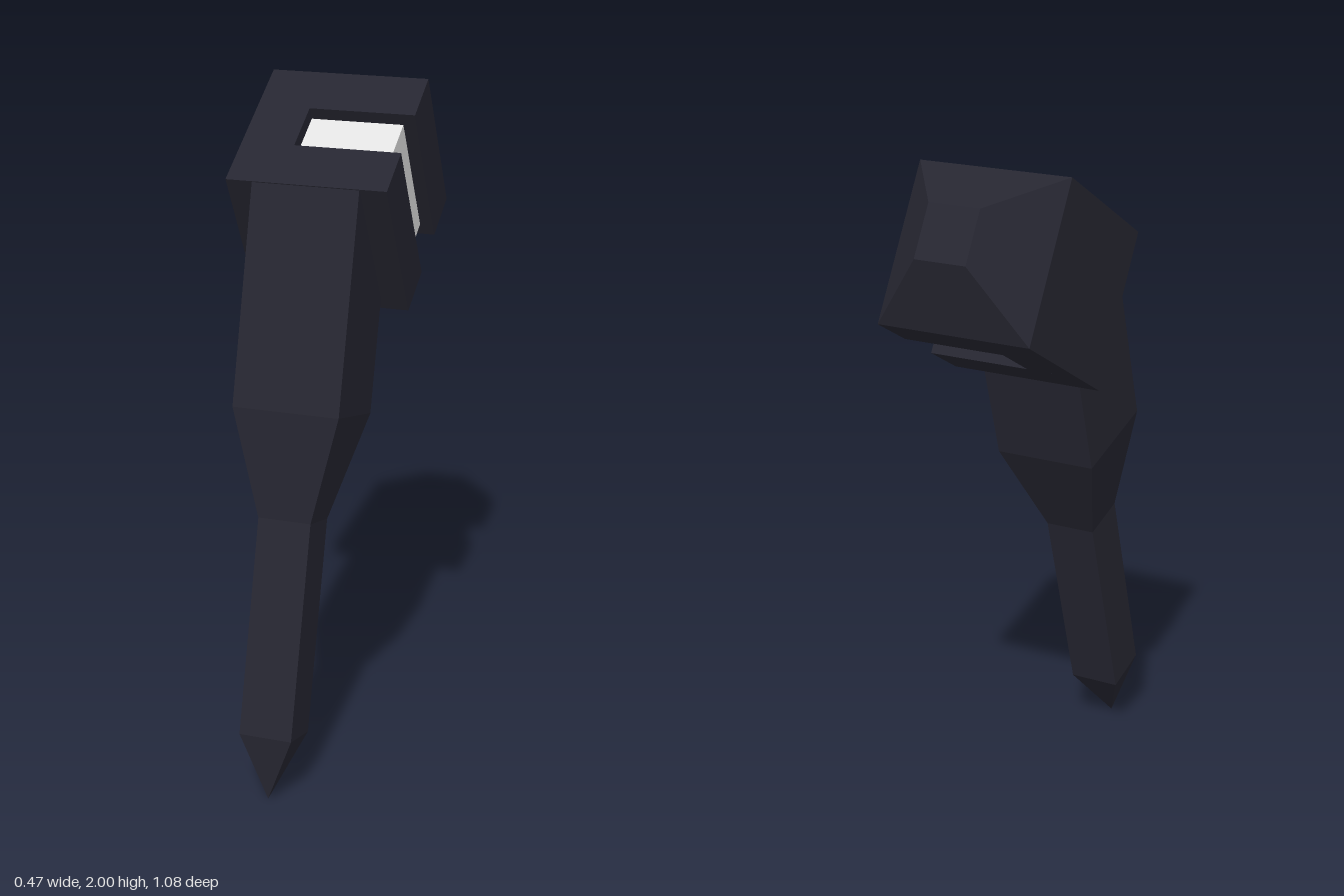
import * as THREE from 'three';

const dark = new THREE.MeshStandardMaterial({ color: 0x262631, flatShading: true });
dark.name = 'dark blue grey';
const pale = new THREE.MeshStandardMaterial({ color: 0xe0e0e0, flatShading: true });
pale.name = 'pale grey';

const U = 0.0791; // base module of the design

// Box given by its extents on each axis
function block(name, material, [x0, x1], [y0, y1], [z0, z1]) {
  const mesh = new THREE.Mesh(new THREE.BoxGeometry(x1 - x0, y1 - y0, z1 - z0), material);
  mesh.position.set((x0 + x1) / 2, (y0 + y1) / 2, (z0 + z1) / 2);
  mesh.name = name;
  return mesh;
}

function createHead() {
  const head = new THREE.Group();
  head.name = 'head';
  const full = [-3 * U, 3 * U];
  head.add(
    block('frontSlab', dark, full, full, [U, 3 * U]),
    block('rearSlab', dark, full, full, [-3 * U, -U]),
    block('grooveEnd', dark, [-3 * U, -U], full, [-U, U]),
    // Pale core set back inside the groove, which wraps top, side and bottom
    block('paleCore', pale, [-U, 2.5 * U], [-2.5 * U, 2.5 * U], [-U, U])
  );

  // Tapered back end
  const taper = new THREE.CylinderGeometry(U * Math.SQRT2, 3 * U * Math.SQRT2, 2 * U, 4);
  taper.rotateY(Math.PI / 4);
  taper.rotateX(-Math.PI / 2);
  const cap = new THREE.Mesh(taper, dark);
  cap.position.z = -4 * U;
  cap.name = 'taperedBack';
  head.add(cap);

  head.position.set(0, 1.675, -0.155);
  head.rotation.x = Math.PI / 6;
  return head;
}

function createHandle() {
  // Half width and distance from the tip, for each square section
  const profile = [[0, 0], [U, 0.198], [U, 0.834], [2 * U, 1.15], [2 * U, 1.785], [0, 1.785]]
    .map(([half, y]) => new THREE.Vector2(half * Math.SQRT2, y));
  const handle = new THREE.Mesh(new THREE.LatheGeometry(profile, 4, Math.PI / 4), dark);
  handle.name = 'handle';
  handle.position.set(0, 0.003, 0.523);
  handle.rotation.x = -0.287;
  return handle;
}

export function createModel() {
  const model = new THREE.Group();
  model.name = 'hammer';
  model.add(createHead(), createHandle());
  return model;
}
